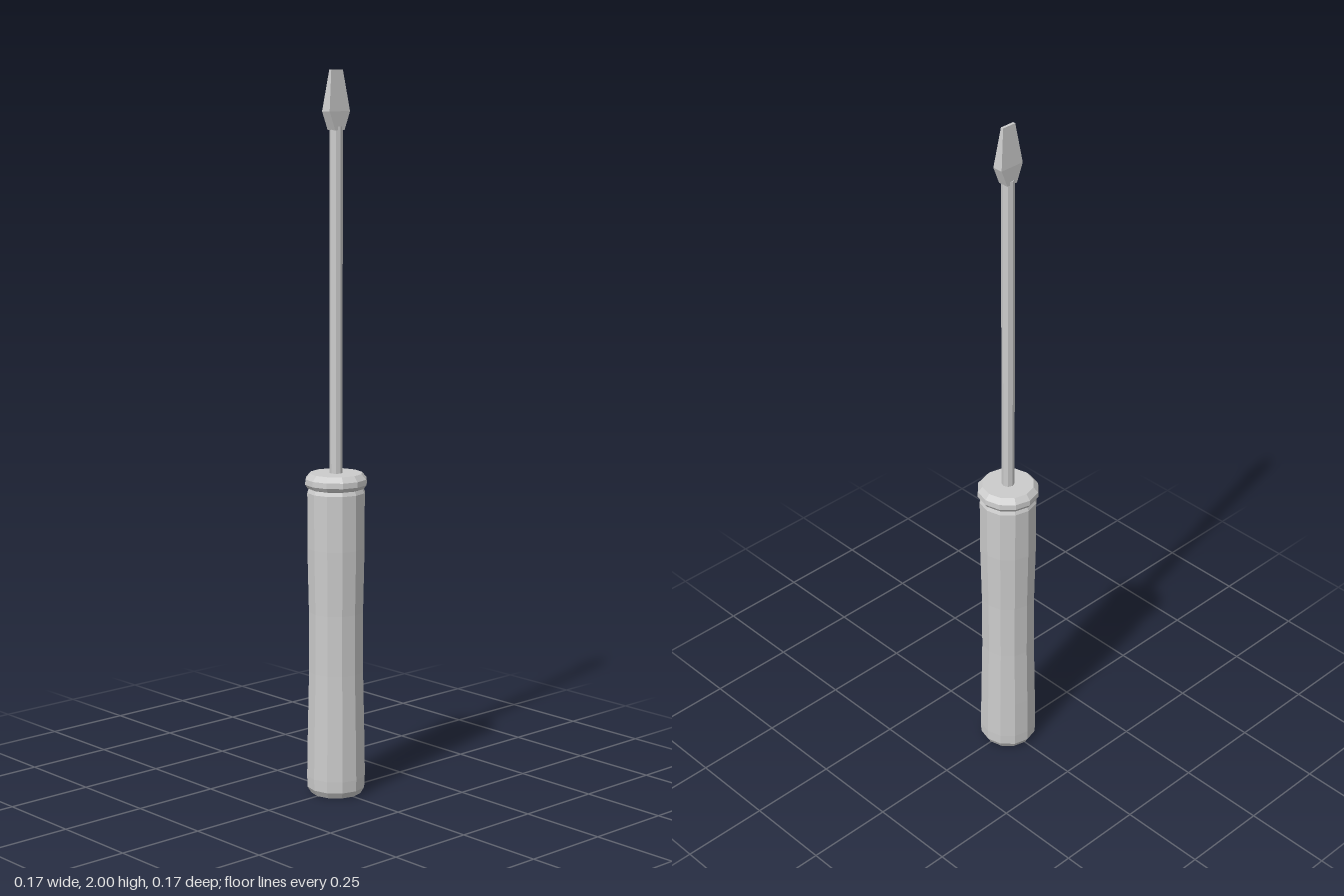
import * as THREE from 'three';

const material = new THREE.MeshStandardMaterial({ color: 0xcccccc, flatShading: true });

function addMesh(group, name, geometry) {
  const mesh = new THREE.Mesh(geometry, material);
  mesh.name = name;
  group.add(mesh);
  return mesh;
}

// Faceted turned part from [radius, height] pairs, bottom to top
function turned(profile, sides) {
  return new THREE.LatheGeometry(profile.map(([r, y]) => new THREE.Vector2(r, y)), sides);
}

// Rectangular sections [y, halfWidth, halfDepth] joined bottom to top, closed at both ends
function loftRectangles(sections) {
  const positions = [];
  const index = [];
  for (const [y, w, d] of sections) {
    positions.push(-w, y, d, w, y, d, w, y, -d, -w, y, -d);
  }
  for (let s = 0; s < sections.length - 1; s++) {
    for (let i = 0; i < 4; i++) {
      const a = s * 4 + i;
      const b = s * 4 + (i + 1) % 4;
      index.push(a, b, b + 4, a, b + 4, a + 4);
    }
  }
  const t = (sections.length - 1) * 4;
  index.push(0, 2, 1, 0, 3, 2, t, t + 1, t + 2, t, t + 2, t + 3);
  const geometry = new THREE.BufferGeometry();
  geometry.setAttribute('position', new THREE.Float32BufferAttribute(positions, 3));
  geometry.setIndex(index);
  const flat = geometry.toNonIndexed();
  flat.computeVertexNormals();
  return flat;
}

export function createModel() {
  const model = new THREE.Group();
  model.name = 'screwdriver';

  // Grip with a bevelled foot, a slight waist, a groove and a bevelled collar
  addMesh(model, 'handle', turned([
    [0, 0], [0.071, 0], [0.082, 0.018], [0.083, 0.05], [0.081, 0.17],
    [0.077, 0.35], [0.077, 0.52], [0.081, 0.7], [0.081, 0.855],
    [0.076, 0.866], [0.08, 0.868], [0.087, 0.878], [0.086, 0.893],
    [0.073, 0.908], [0, 0.908],
  ], 12));

  // Thin round shaft
  const shaft = addMesh(model, 'shaft', new THREE.CylinderGeometry(0.018, 0.018, 0.96, 8));
  shaft.position.y = 1.37;

  // Flat blade that flares out, then tapers to a thin tip
  addMesh(model, 'blade', loftRectangles([
    [1.84, 0.017, 0.015], [1.89, 0.037, 0.015], [2, 0.021, 0.004],
  ]));

  return model;
}
